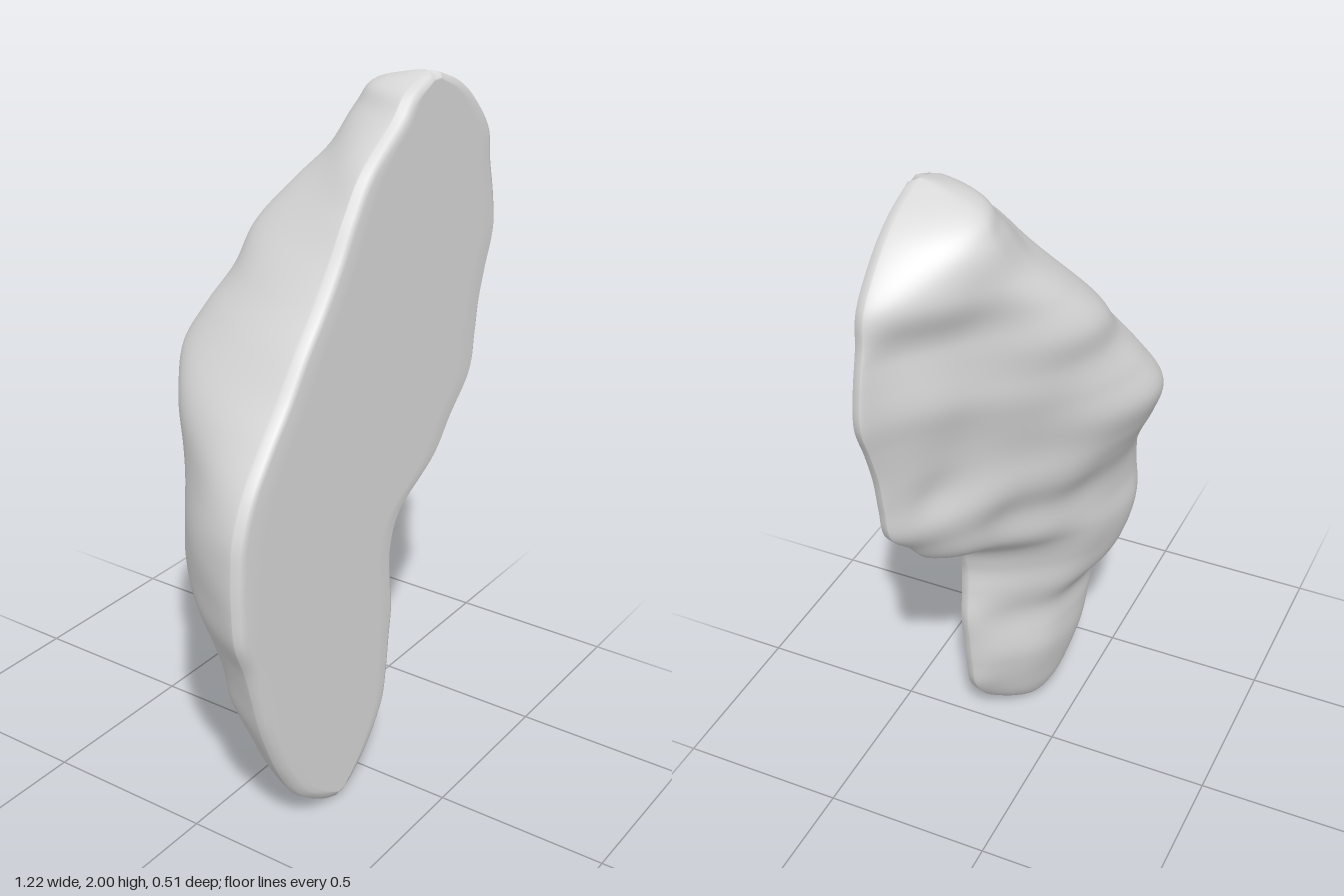
import * as THREE from 'three';

// Heights with the left and right edge of the outline
const OUTLINE = [
  [0, -0.16, -0.15], [0.03, -0.24, -0.08], [0.1, -0.34, 0.0], [0.2, -0.41, 0.07], [0.3, -0.46, 0.09],
  [0.4, -0.5, 0.1], [0.5, -0.53, 0.11], [0.6, -0.56, 0.1], [0.7, -0.6, 0.1], [0.8, -0.61, 0.15],
  [0.9, -0.61, 0.32], [1.0, -0.6, 0.41], [1.1, -0.56, 0.505], [1.2, -0.49, 0.525], [1.3, -0.41, 0.54],
  [1.4, -0.34, 0.57], [1.5, -0.26, 0.605], [1.6, -0.19, 0.595], [1.7, -0.13, 0.57], [1.8, -0.055, 0.55],
  [1.9, 0.08, 0.46], [1.96, 0.14, 0.37], [2.0, 0.24, 0.26],
];
// Ridge along the back at the same heights: x, z
const RIDGE = [
  [-0.155, 0.2], [-0.16, 0.12], [-0.18, 0.07], [-0.2, 0.035], [-0.22, 0.01],
  [-0.24, 0.0], [-0.25, -0.01], [-0.26, -0.08], [-0.27, -0.12], [-0.27, -0.14],
  [-0.26, -0.135], [-0.23, -0.145], [-0.19, -0.18], [-0.16, -0.225], [-0.13, -0.255],
  [-0.08, -0.22], [-0.01, -0.175], [0.06, -0.16], [0.14, -0.1], [0.24, -0.03],
  [0.29, 0.01], [0.27, 0.06], [0.25, 0.2],
];
const FRONT = 0.255, RIM = 0.225, ROWS = 160, BACK = 64, FLAT = 12;
const { lerp, smoothstep } = THREE.MathUtils;

// Smooth curve through the rows; all curves share the same parameter
const curve = (pts) => new THREE.CatmullRomCurve3(pts, false, 'catmullrom', 0.5);

// Uneven weathering of the flanks, with one hollow near the +x edge
const bumps = (x, y) =>
  0.013 * Math.sin(11 * x + 6 * y + 0.6) * Math.sin(10 * y - 7 * x) +
  0.008 * Math.sin(19 * x - 11 * y) * Math.sin(14 * y + 11 * x + 1) +
  0.03 * Math.exp(-((x - 0.4) ** 2 + (y - 1.17) ** 2) / 0.006);

// Height of the dome from ridge (t = 0) to edge (t = 1)
function dome(t, y, plusX) {
  const m = smoothstep(y, 0.75, 1.25);
  if (plusX) {
    // Round at both ends, with a concave foot in the middle
    const mid = m * (1 - smoothstep(y, 1.65, 1.9));
    const round = Math.pow(Math.max(0, 1 - Math.pow(t, 1.9)), 0.7);
    return lerp(round, 0.5 + 0.5 * Math.cos(Math.PI * t), 0.8 * mid);
  }
  const mid = m * (1 - smoothstep(y, 1.5, 1.8));
  const low = 1 - smoothstep(y, 0.4, 0.7);
  return Math.pow(Math.max(0, 1 - Math.pow(t, 1.8 + 0.3 * mid + 0.3 * low)), 0.78 - 0.13 * mid - 0.08 * low);
}

function rockGeometry() {
  const edges = curve(OUTLINE.map(([y, l, r]) => new THREE.Vector3(l, y, r)));
  const ridge = curve(RIDGE.map(([x, z], i) => new THREE.Vector3(x, OUTLINE[i][0], z)));
  const pos = [], index = [];
  let ring = 0;
  for (let i = 0; i <= ROWS; i++) {
    const e = edges.getPoint(i / ROWS), p = ridge.getPoint(i / ROWS);
    const y = Math.min(2, Math.max(0, e.y)), end = i === 0 || i === ROWS;
    const start = pos.length;
    const add = (x, z, py = y) => pos.push(end ? p.x : x, end ? y : py, end ? RIM : z);
    // Domed back
    for (let j = 0; j <= BACK; j++) {
      const c = Math.cos((Math.PI * j) / BACK), t = Math.abs(c);
      const x = p.x + t * (c > 0 ? e.z - p.x : e.x - p.x);
      const h = dome(t, y, c > 0);
      add(x, RIM + (p.z - RIM) * h + bumps(x, y) * 4 * h * (1 - h));
    }
    // Rounded rim and flat front
    const inset = Math.min(0.025, (e.z - e.x) * 0.2), frontY = 1 + (y - 1) * 0.988;
    add(e.x + inset * 0.3, FRONT - 0.008);
    for (let j = 0; j <= FLAT; j++) add(lerp(e.x + inset, e.z - inset, j / FLAT), FRONT, frontY);
    add(e.z - inset * 0.3, FRONT - 0.008);
    ring = (pos.length - start) / 3;
  }
  for (let i = 0; i < ROWS; i++) {
    for (let j = 0; j < ring; j++) {
      const k = (j + 1) % ring, a = i * ring + j, b = i * ring + k;
      index.push(a, b, b + ring, a, b + ring, a + ring);
    }
  }
  const geo = new THREE.BufferGeometry();
  geo.setAttribute('position', new THREE.Float32BufferAttribute(pos, 3));
  geo.setIndex(index);
  geo.computeVertexNormals();
  return geo;
}

export function createModel() {
  const stone = new THREE.MeshStandardMaterial({ color: 0xd9d9d9 });
  stone.name = 'paleStone';
  const rock = new THREE.Mesh(rockGeometry(), stone);
  rock.name = 'rock';
  const group = new THREE.Group();
  group.name = 'flatFacedRock';
  group.add(rock);
  return group;
}
